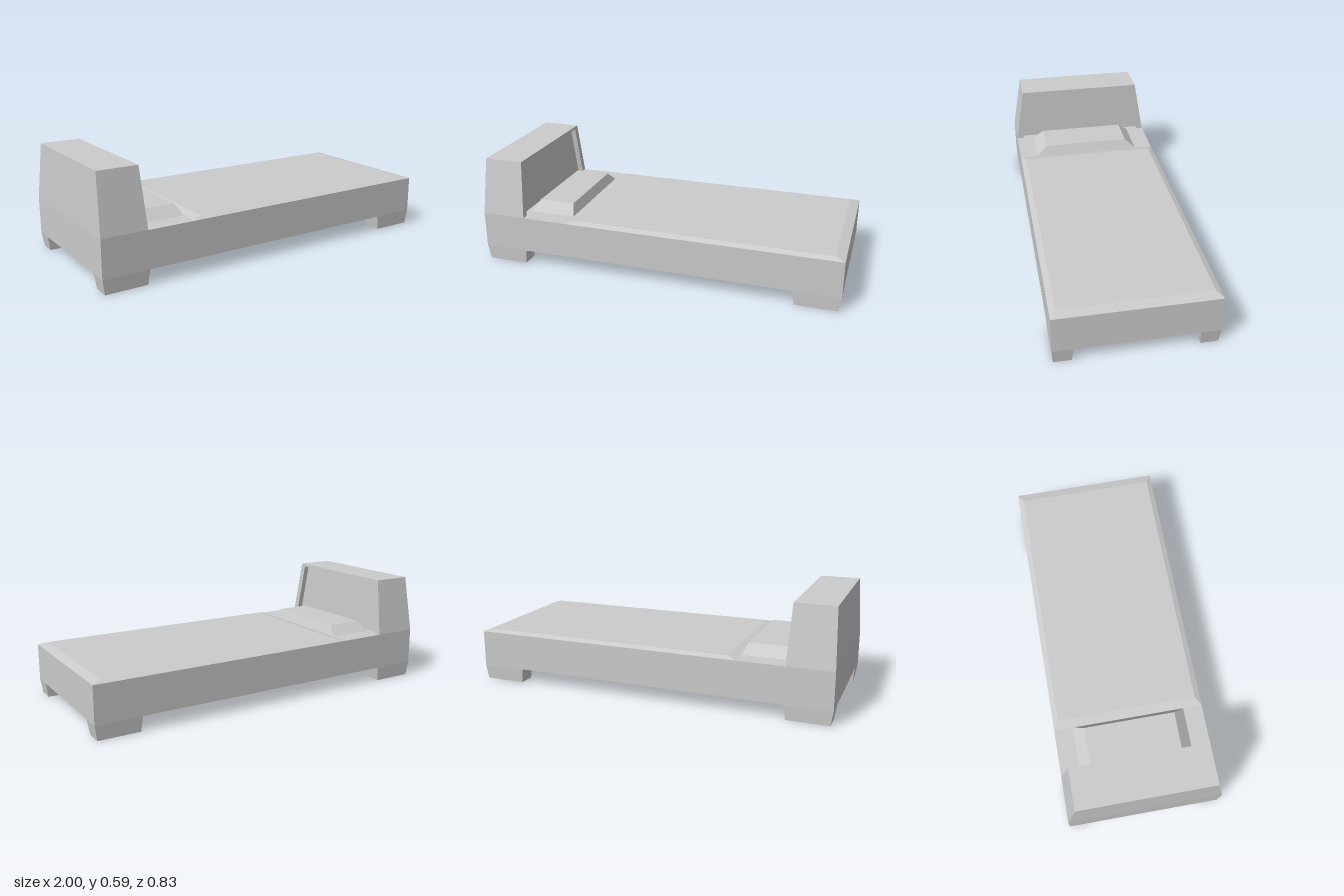
import * as THREE from 'three';

const material = new THREE.MeshStandardMaterial({ color: 0xcccccc, flatShading: true });

// Tapered block: bottom and top rectangles given as [xMin, xMax, zMin, zMax].
function taperedBlock(name, y0, y1, bottom, top) {
  const geometry = new THREE.BoxGeometry(1, 1, 1);
  const p = geometry.attributes.position;
  for (let i = 0; i < p.count; i++) {
    const r = p.getY(i) > 0 ? top : bottom;
    p.setXYZ(i, p.getX(i) > 0 ? r[1] : r[0], p.getY(i) > 0 ? y1 : y0, p.getZ(i) > 0 ? r[3] : r[2]);
  }
  geometry.computeVertexNormals();
  const mesh = new THREE.Mesh(geometry, material);
  mesh.name = name;
  return mesh;
}

// Raised border around the recessed headboard panel, leaning back with the slab.
function headboardRim(depth) {
  const outline = [
    [-0.415, 0.28], [-0.378, 0.28], [-0.33, 0.575], [0.33, 0.575],
    [0.378, 0.28], [0.415, 0.28], [0.363, 0.59], [-0.363, 0.59],
  ].map(([x, y]) => new THREE.Vector2(x, y));
  const geometry = new THREE.ExtrudeGeometry(new THREE.Shape(outline), { depth, bevelEnabled: false });
  geometry.rotateY(Math.PI / 2).translate(-0.755 - depth, 0, 0);
  const p = geometry.attributes.position;
  for (let i = 0; i < p.count; i++) {
    p.setX(i, p.getX(i) - 0.015 * (p.getY(i) - 0.28) / 0.31);
  }
  geometry.computeVertexNormals();
  const mesh = new THREE.Mesh(geometry, material);
  mesh.name = 'headboardRim';
  return mesh;
}

export function createModel() {
  const bed = new THREE.Group();
  bed.name = 'bed';

  // Base, blanket and pillow
  const base = [-1, 1, -0.415, 0.415];
  bed.add(taperedBlock('bedBase', 0.08, 0.28, base, base));
  bed.add(taperedBlock('blanket', 0.28, 0.293, [-0.5, 1, -0.415, 0.415], [-0.45, 0.95, -0.385, 0.385]));
  bed.add(taperedBlock('pillow', 0.28, 0.333, [-0.755, -0.5, -0.31, 0.31], [-0.727, -0.525, -0.25, 0.25]));

  // Headboard
  const recess = 0.03;
  const headboard = new THREE.Group();
  headboard.name = 'headboard';
  headboard.add(taperedBlock('headboardSlab', 0.28, 0.59,
    [-1, -0.755 - recess, -0.415, 0.415], [-0.985, -0.77 - recess, -0.363, 0.363]));
  headboard.add(headboardRim(recess));
  bed.add(headboard);

  // Four tapered feet
  const span = (side, inner, outer) => (side > 0 ? [inner, outer] : [-outer, -inner]);
  for (const sx of [-1, 1]) {
    for (const sz of [-1, 1]) {
      bed.add(taperedBlock('foot', 0, 0.08,
        [...span(sx, 0.763, 0.988), ...span(sz, 0.318, 0.41)],
        [...span(sx, 0.752, 1), ...span(sz, 0.312, 0.415)]));
    }
  }
  return bed;
}
